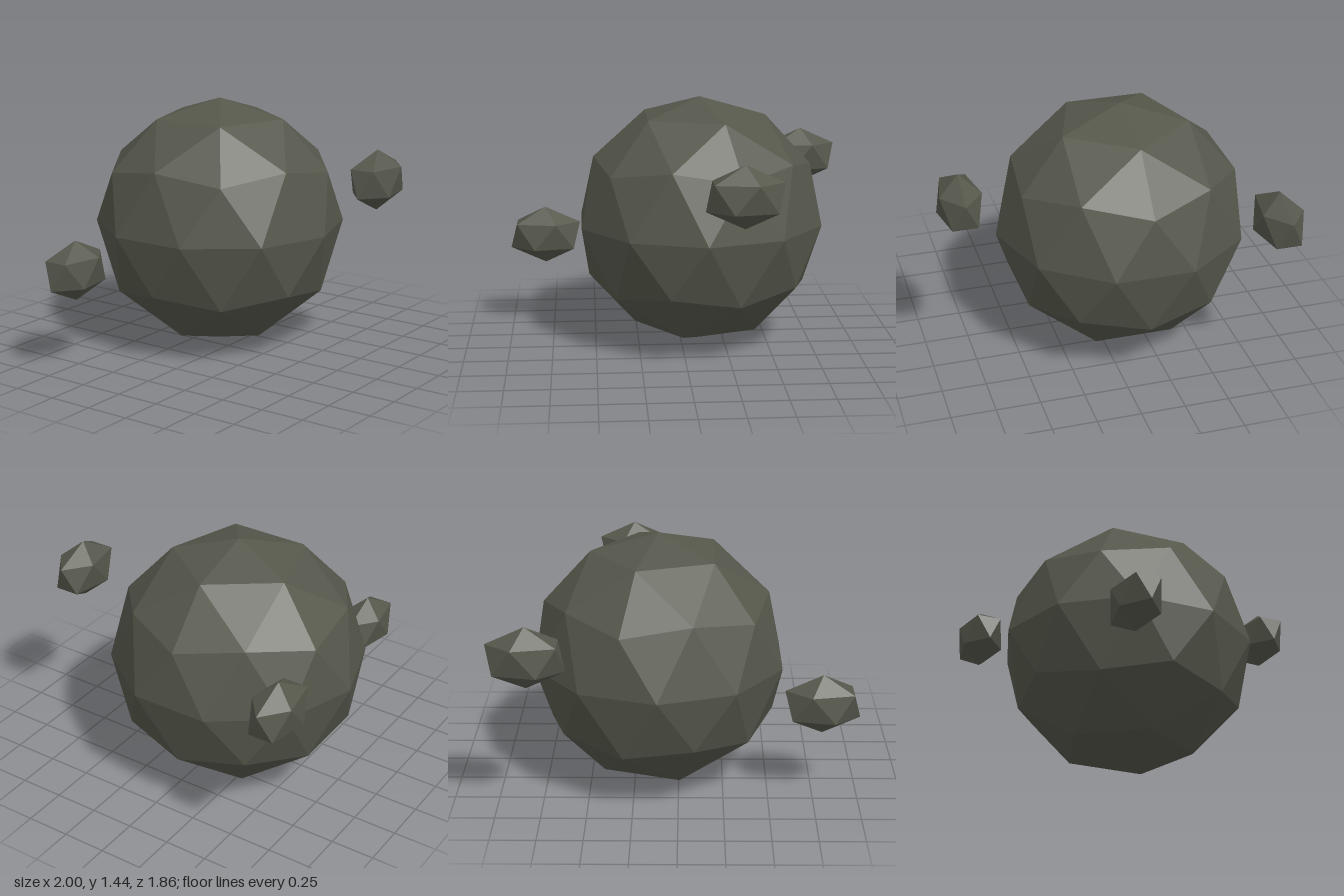
import * as THREE from 'three';

const stone = new THREE.MeshStandardMaterial({ color: 0x55574b, flatShading: true });

// Faceted ball with a corner straight up and an upper-ring corner towards +x
function rock(name, detail, scale, position) {
  const geometry = new THREE.IcosahedronGeometry(1, detail);
  geometry.rotateZ(-Math.atan(2 / (1 + Math.sqrt(5))));
  geometry.scale(...scale);
  geometry.computeVertexNormals();
  const mesh = new THREE.Mesh(geometry, stone);
  mesh.name = name;
  mesh.position.set(...position);
  return mesh;
}

export function createModel() {
  const group = new THREE.Group();
  group.name = 'boulderWithFragments';

  // Main boulder
  group.add(rock('boulder', 1, [0.72, 0.72, 0.72], [0.11, 0.723, -0.136]));

  // Small flattened fragments floating around it
  const fragments = {
    frontFragment: [0.278, 1.05, 0.814],
    rightFragment: [-0.793, 0.565, -0.467],
    backLeftFragment: [0.793, 0.97, -0.815],
  };
  for (const [name, position] of Object.entries(fragments)) {
    group.add(rock(name, 0, [0.232, 0.17, 0.135], position));
  }
  return group;
}
